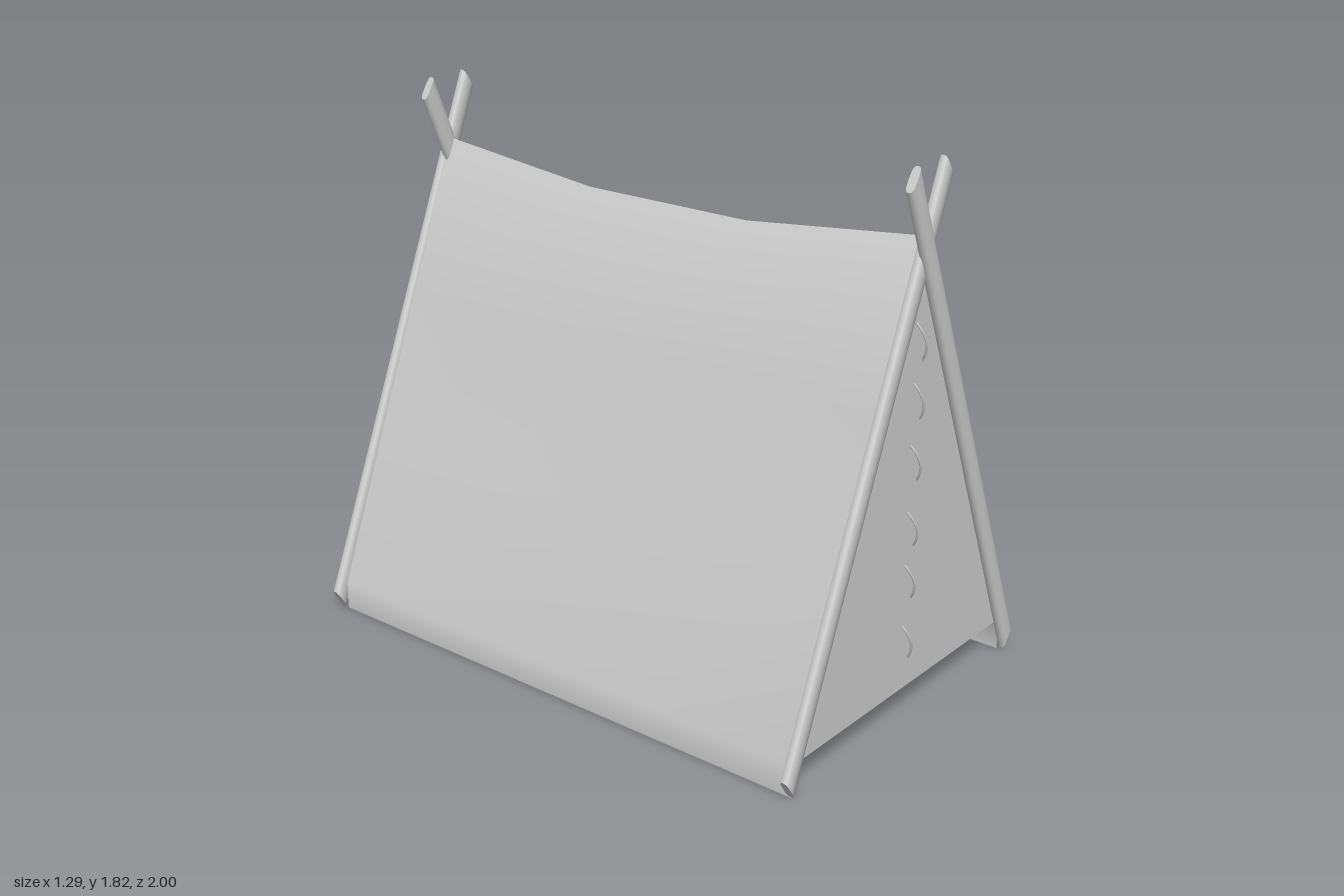
import * as THREE from 'three';

const cloth = new THREE.MeshStandardMaterial({ color: 0xcccccc, side: THREE.DoubleSide });
const solid = new THREE.MeshStandardMaterial({ color: 0xcccccc });

function named(name, geometry, material) {
  const mesh = new THREE.Mesh(geometry, material);
  mesh.name = name;
  return mesh;
}

// Cover: half profiles mirrored over the ridge, sagging between the two frames
function coverGeometry() {
  const mirrored = (half) => [...half, ...half.slice(0, -1).map(([x, y]) => [-x, y]).reverse()];
  const atFrame = mirrored([[0.598, 0], [0.598, 0.1], [0.4, 0.6], [0.2, 1.1], [0, 1.6]]);
  const atMiddle = mirrored([[0.598, 0], [0.598, 0.1], [0.383, 0.59], [0.17, 1.08], [0, 1.53]]);
  const rows = atFrame.length - 1;
  const geometry = new THREE.PlaneGeometry(1.944, rows, 3, rows);
  const pos = geometry.attributes.position;
  for (let i = 0; i < pos.count; i++) {
    const z = -pos.getX(i);
    const profile = Math.abs(z) < 0.5 ? atMiddle : atFrame;
    const [x, y] = profile[Math.round(pos.getY(i) + rows / 2)];
    pos.setXYZ(i, x, y, z);
  }
  geometry.computeVertexNormals();
  // The ridge is shaded as a soft fold
  for (let i = 0; i < pos.count; i++) {
    if (pos.getX(i) === 0) geometry.attributes.normal.setXYZ(i, 0, 1, 0);
  }
  return geometry;
}

// Flattened pole with rounded-square section and slanted ends; side is the x sign of its foot
function pole(side, z) {
  const geometry = new THREE.CylinderGeometry(1, 1, 1.894, 20);
  const pos = geometry.attributes.position;
  const squared = (v) => Math.sign(v) * Math.abs(v) ** 0.65;
  for (let i = 0; i < pos.count; i++) {
    pos.setX(i, 0.034 * squared(pos.getX(i)));
    pos.setZ(i, 0.015 * squared(pos.getZ(i)));
  }
  geometry.applyMatrix4(new THREE.Matrix4().makeShear(0.7 * side, 0, 0, 0, 0, 0));
  const mesh = named(side > 0 ? 'outerPole' : 'innerPole', geometry, solid);
  mesh.position.set(side * 0.261, 0.915, z);
  mesh.rotation.z = side * 0.393;
  return mesh;
}

// One end: crossed poles, gable cloth and its column of stitches
function createEnd() {
  const end = new THREE.Group();
  end.add(pole(1, 0.985), pole(-1, 0.97));

  const shape = new THREE.Shape([
    new THREE.Vector2(-0.583, 0.11),
    new THREE.Vector2(0.583, 0.11),
    new THREE.Vector2(0, 1.55),
  ]);
  const gable = named('gablePanel', new THREE.ShapeGeometry(shape), cloth);
  gable.position.z = 0.97;
  end.add(gable);

  const arc = new THREE.CatmullRomCurve3([
    new THREE.Vector3(-0.023, 0.064, 0.969),
    new THREE.Vector3(-0.014, 0.04, 0.984),
    new THREE.Vector3(0.002, 0, 0.993),
    new THREE.Vector3(0.014, -0.04, 0.984),
    new THREE.Vector3(0.023, -0.064, 0.969),
  ]);
  const stitchGeometry = new THREE.TubeGeometry(arc, 12, 0.004, 6);
  for (const y of [0.275, 0.485, 0.665, 0.885, 1.085, 1.275]) {
    const stitch = named('stitch', stitchGeometry, solid);
    stitch.position.y = y;
    end.add(stitch);
  }
  return end;
}

export function createModel() {
  const tent = new THREE.Group();
  tent.name = 'tent';
  tent.add(named('cover', coverGeometry(), cloth));

  const front = createEnd();
  front.name = 'frontEnd';
  const back = createEnd();
  back.name = 'backEnd';
  back.rotation.y = Math.PI;
  tent.add(front, back);
  return tent;
}
